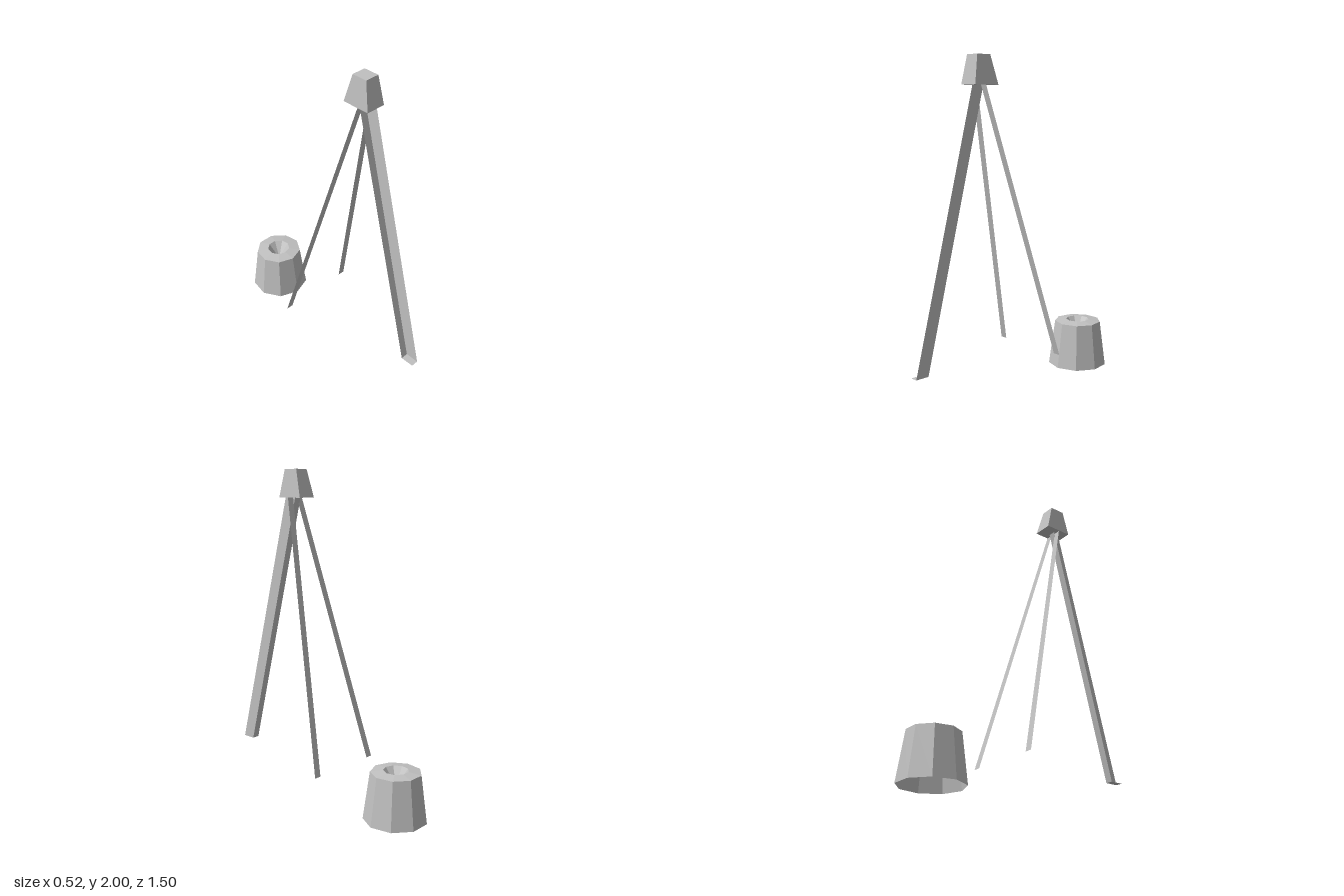
import * as THREE from 'three';

const grey = new THREE.MeshStandardMaterial({ color: 0xc0c0c0, flatShading: true, side: THREE.DoubleSide });
grey.name = 'light grey';

function addPart(parent, name, geometry) {
  const mesh = new THREE.Mesh(geometry, grey);
  mesh.name = name;
  parent.add(mesh);
  return mesh;
}

// Flat four-cornered panel, corners counter-clockwise seen from its front
function panel(a, b, c, d) {
  const g = new THREE.BufferGeometry();
  g.setAttribute('position', new THREE.Float32BufferAttribute([a, b, c, a, c, d].flat(), 3));
  g.computeVertexNormals();
  return g;
}

// Box whose corners are moved to a lower and an upper rectangle [x0, x1, z0, z1]
function taperedBlock(y0, y1, low, high) {
  const g = new THREE.BoxGeometry(1, 1, 1).toNonIndexed();
  const p = g.attributes.position;
  for (let i = 0; i < p.count; i++) {
    const up = p.getY(i) > 0;
    const r = up ? high : low;
    p.setXYZ(i, p.getX(i) < 0 ? r[0] : r[1], up ? y1 : y0, p.getZ(i) < 0 ? r[2] : r[3]);
  }
  g.computeVertexNormals();
  return g;
}

export function createModel() {
  const model = new THREE.Group();
  model.name = 'tripodAndTub';

  // Tapered block joining the legs
  addPart(model, 'topBlock', taperedBlock(1.83, 2,
    [-0.07, 0.053, 0.167, 0.342], [-0.054, 0.035, 0.213, 0.31]));

  // Front leg: an open angle section closed by a small foot
  const frontLeg = new THREE.Group();
  frontLeg.name = 'frontLeg';
  model.add(frontLeg);
  const xr = -0.035, xl = 0.012, yb = 0.2, yt = 1.83;
  addPart(frontLeg, 'frontLegBack', panel([xl, yb, 0.67], [xr, yb, 0.67], [xr, yt, 0.247], [xl, yt, 0.247]));
  addPart(frontLeg, 'frontLegSide', panel([xl, yb, 0.755], [xl, yb, 0.67], [xl, yt, 0.247], [xl, yt, 0.328]));
  addPart(frontLeg, 'frontLegFoot', panel([xr, yb, 0.67], [xl, yb, 0.67], [xl, yb, 0.755], [xr, yb, 0.755]));

  // Rear legs: flat strips, mirrored about the middle of the block
  for (const s of [-1, 1]) {
    const at = (dx, y, z) => [-0.004 + s * dx, y, z];
    addPart(model, s > 0 ? 'rearLegLeft' : 'rearLegRight', panel(
      at(0.262, 0.2, -0.145), at(0.216, 0.2, -0.145), at(0.016, 1.83, 0.264), at(0.06, 1.83, 0.264)));
  }

  // Nine-sided tub, open below, with a pointed recess in its top
  const profile = [[0.19, 0], [0.151, 0.29], [0.075, 0.3], [0, 0.2]].map(([r, y]) => new THREE.Vector2(r, y));
  const tub = addPart(model, 'tub', new THREE.LatheGeometry(profile, 9));
  tub.position.set(0.028, 0, -0.568);

  return model;
}
